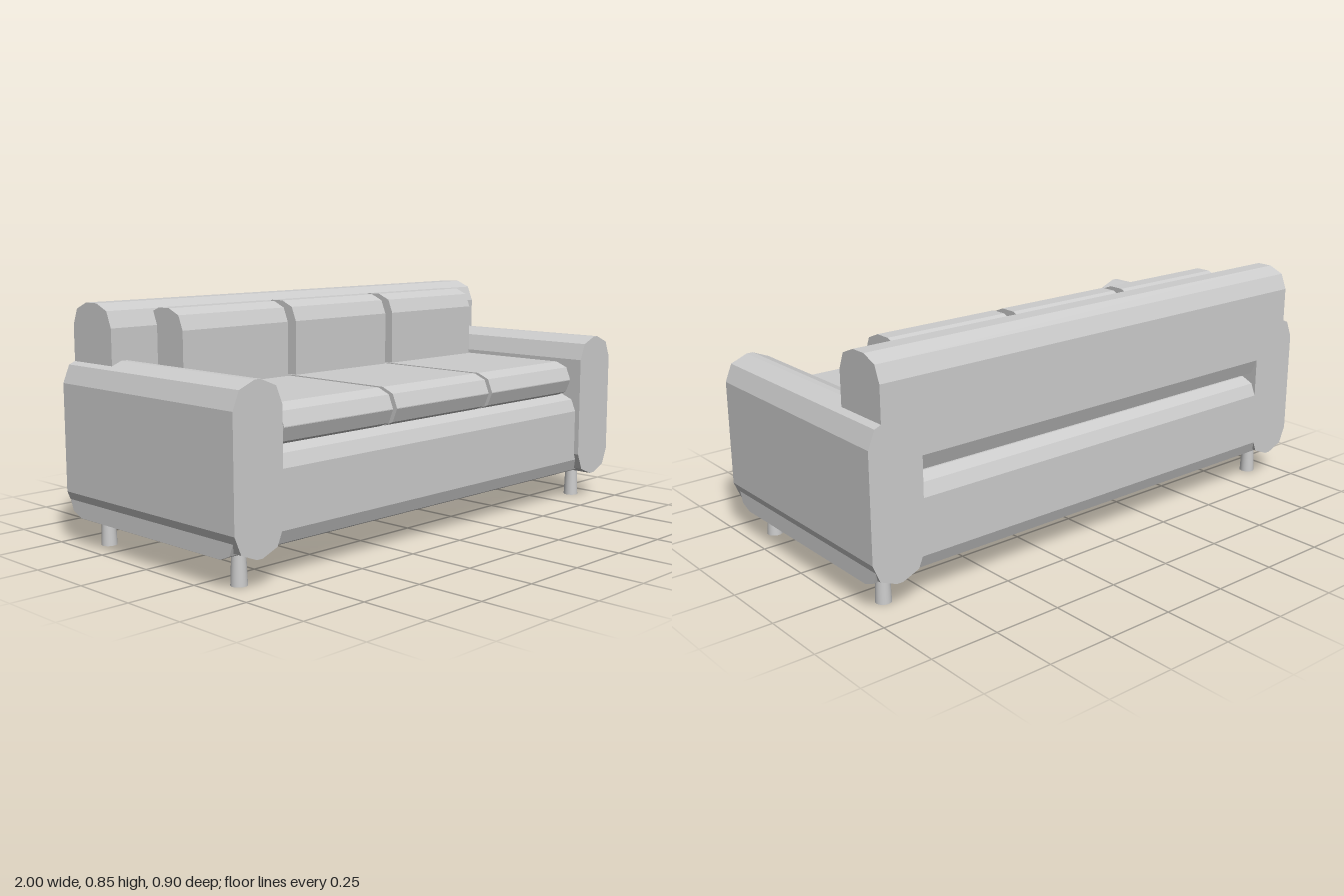
import * as THREE from 'three';

const upholstery = new THREE.MeshStandardMaterial({ color: 0xcccccc });
upholstery.name = 'light grey';

// Rectangle centred on the origin with corners cut into two facets each
function roundedProfile(w, h, r) {
  const points = [];
  const corners = [[1, 1], [-1, 1], [-1, -1], [1, -1]];
  corners.forEach(([sx, sy], i) => {
    for (let k = 0; k <= 2; k++) {
      const a = i * Math.PI / 2 + k * Math.PI / 4;
      points.push(new THREE.Vector2(
        sx * (w / 2 - r) + r * Math.cos(a),
        sy * (h / 2 - r) + r * Math.sin(a)));
    }
  });
  return new THREE.Shape(points);
}

// Faceted padded block filling the given ranges, running along 'x' or 'z'
function pad(name, [x0, x1], [y0, y1], [z0, z1], r, axis) {
  const alongX = axis === 'x';
  const width = alongX ? z1 - z0 : x1 - x0;
  const depth = alongX ? x1 - x0 : z1 - z0;
  const geometry = new THREE.ExtrudeGeometry(
    roundedProfile(width, y1 - y0, r), { depth, bevelEnabled: false });
  geometry.translate(0, 0, -depth / 2);
  if (alongX) geometry.rotateY(Math.PI / 2);
  const mesh = new THREE.Mesh(geometry, upholstery);
  mesh.name = name;
  mesh.position.set((x0 + x1) / 2, (y0 + y1) / 2, (z0 + z1) / 2);
  return mesh;
}

export function createModel() {
  const sofa = new THREE.Group();
  sofa.name = 'sofa';

  // Base and backrest, leaving a groove between them at the rear
  sofa.add(pad('base', [-0.988, 0.988], [0.103, 0.43], [-0.45, 0.43], 0.064, 'x'));
  sofa.add(pad('backrest', [-0.95, 0.95], [0.43, 0.852], [-0.45, -0.23], 0.08, 'x'));

  // Arms
  sofa.add(pad('leftArm', [0.8, 1], [0.103, 0.661], [-0.45, 0.45], 0.088, 'z'));
  sofa.add(pad('rightArm', [-1, -0.8], [0.103, 0.661], [-0.45, 0.45], 0.088, 'z'));

  // Three seat cushions, each with a back cushion
  ['right', 'middle', 'left'].forEach((side, i) => {
    const x = (i - 1) * 0.52;
    sofa.add(pad(side + 'SeatCushion', [x - 0.25, x + 0.25], [0.426, 0.563], [-0.3, 0.423], 0.067, 'x'));
    sofa.add(pad(side + 'BackCushion', [x - 0.24, x + 0.24], [0.46, 0.833], [-0.29, -0.089], 0.072, 'x'));
  });

  // Legs, slightly wider at the floor
  const legGeometry = new THREE.CylinderGeometry(0.023, 0.028, 0.12, 20);
  for (const [sx, side] of [[1, 'Left'], [-1, 'Right']]) {
    for (const [sz, end] of [[1, 'front'], [-1, 'back']]) {
      const leg = new THREE.Mesh(legGeometry, upholstery);
      leg.name = end + side + 'Leg';
      leg.position.set(sx * 0.9, 0.06, sz * 0.35);
      sofa.add(leg);
    }
  }
  return sofa;
}
